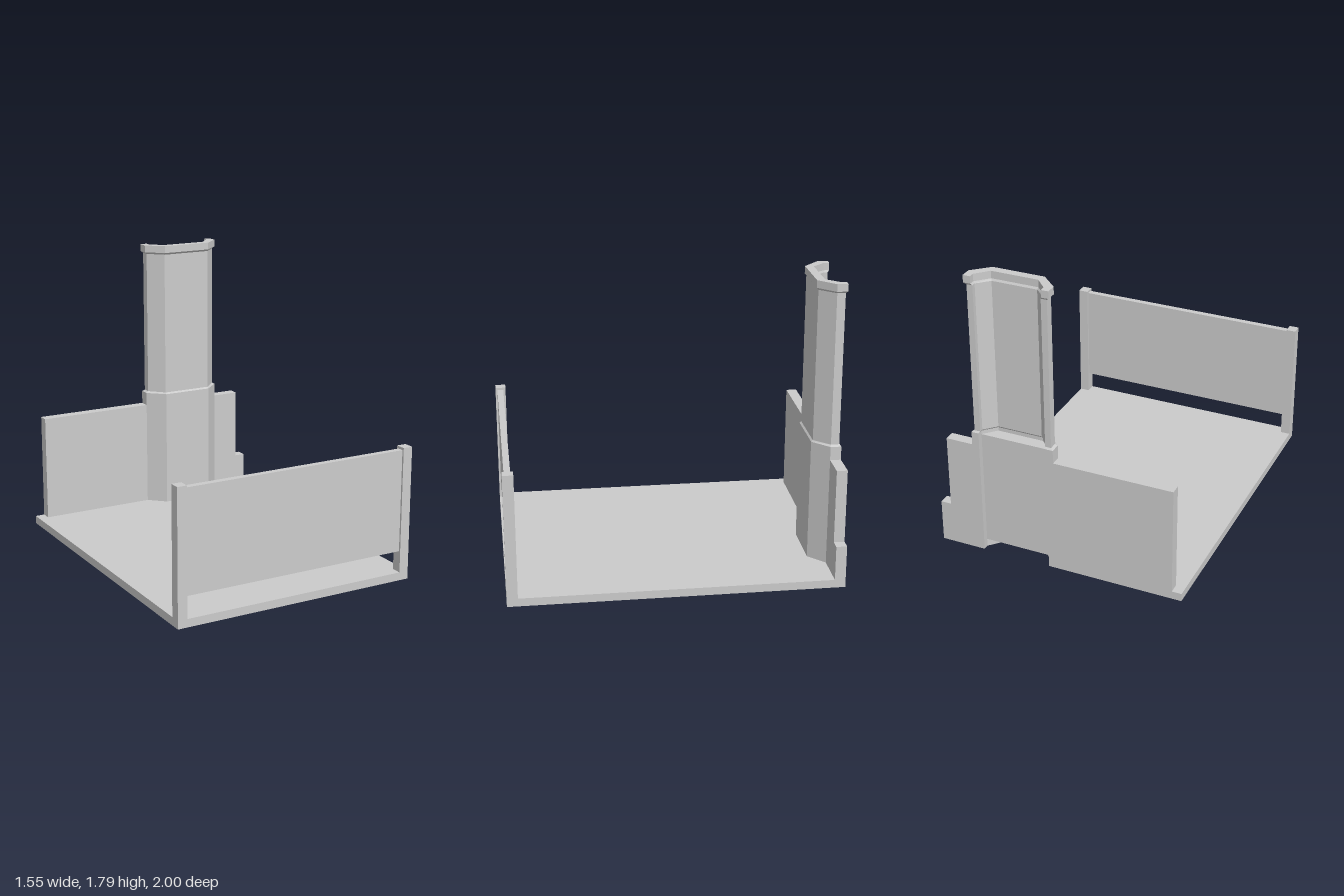
import * as THREE from 'three';

const material = new THREE.MeshStandardMaterial({ color: 0xcccccc, flatShading: true, side: THREE.DoubleSide });
const CHIMNEY_X = 0.28;

function addMesh(group, name, geometry) {
  const mesh = new THREE.Mesh(geometry, material);
  mesh.name = name;
  group.add(mesh);
  return mesh;
}

// Box given by its minimum and maximum on each axis
function addBox(group, name, [x0, x1], [y0, y1], [z0, z1]) {
  const mesh = addMesh(group, name, new THREE.BoxGeometry(x1 - x0, y1 - y0, z1 - z0));
  mesh.position.set((x0 + x1) / 2, (y0 + y1) / 2, (z0 + z1) / 2);
}

// Upright prism from a plan outline of [x, -z] points
function prism(points, y0, y1) {
  const shape = new THREE.Shape(points.map(([x, u]) => new THREE.Vector2(x, u)));
  return new THREE.ExtrudeGeometry(shape, { depth: y1 - y0, bevelEnabled: false })
    .rotateX(-Math.PI / 2)
    .translate(0, y0, 0);
}

// Half outline mirrored into a full one, from left to right
const mirrored = (half) => [
  ...half.map(([x, u]) => [CHIMNEY_X - x, u]),
  ...half.slice().reverse().map(([x, u]) => [CHIMNEY_X + x, u]),
];

// Three-sided bay with an open back: outer outline, then inner outline backwards
const bay = (outer, inner) => [...mirrored(outer), ...mirrored(inner).reverse()];

// Skin between equal-length plan outlines at rising heights, with closed ends
function loft(sections) {
  const positions = [];
  const put = (y, [x, u]) => positions.push(x, y, -u);
  for (let s = 0; s < sections.length - 1; s++) {
    const [ya, a] = sections[s];
    const [yb, b] = sections[s + 1];
    for (let i = 0; i < a.length; i++) {
      const j = (i + 1) % a.length;
      put(ya, a[i]); put(ya, a[j]); put(yb, b[j]);
      put(ya, a[i]); put(yb, b[j]); put(yb, b[i]);
    }
  }
  const outline = sections[0][1].map(([x, u]) => new THREE.Vector2(x, u));
  const [yBottom, bottom] = sections[0];
  const [yTop, top] = sections[sections.length - 1];
  for (const [i, j, k] of THREE.ShapeUtils.triangulateShape(outline, [])) {
    put(yTop, top[i]); put(yTop, top[j]); put(yTop, top[k]);
    put(yBottom, bottom[i]); put(yBottom, bottom[k]); put(yBottom, bottom[j]);
  }
  const geometry = new THREE.BufferGeometry();
  geometry.setAttribute('position', new THREE.Float32BufferAttribute(positions, 3));
  geometry.computeVertexNormals();
  return geometry;
}

export function createModel() {
  const group = new THREE.Group();
  group.name = 'roomWithChimney';

  const flueHalf = [[0.215, 1], [0.215, 0.965], [0.145, 0.89]];
  const wide = bay([[0.26, 1], [0.26, 0.935], [0.16, 0.84]], flueHalf);
  const narrow = bay(
    [[0.245, 0.99], [0.245, 0.94], [0.16, 0.85]],
    [[0.208, 0.99], [0.208, 0.965], [0.14, 0.897]],
  );

  // Floor slab with the flue cut out of its back edge
  addMesh(group, 'floor', prism(
    [[-0.775, -1], [0.775, -1], [0.775, 1], ...mirrored(flueHalf).reverse(), [-0.775, 1]], 0, 0.05));

  // Chimney breast, shaft and cap as one skin with chamfered steps
  addMesh(group, 'chimney', loft([
    [0.05, wide], [0.803, wide], [0.813, narrow],
    [1.738, narrow], [1.75, wide], [1.795, wide],
  ]));

  // Solid filling behind the chimney breast
  addMesh(group, 'chimneyBack', prism(mirrored(flueHalf.slice(1)), 0.05, 0.78));

  // Back walls on either side of the chimney, and the low corner post
  addBox(group, 'backWallRight', [-0.715, 0.03], [0.05, 0.72], [-1, -0.935]);
  addBox(group, 'backWallLeft', [0.53, 0.71], [0.05, 0.72], [-1, -0.935]);
  addBox(group, 'backPost', [0.71, 0.775], [0.05, 0.265], [-1, -0.935]);

  // Front panel raised between two posts
  addBox(group, 'frontPanel', [-0.715, 0.715], [0.18, 0.805], [0.95, 0.988]);
  for (const side of [-1, 1]) {
    const xs = [side * 0.775, side * 0.715].sort((a, b) => a - b);
    addBox(group, side > 0 ? 'frontPostLeft' : 'frontPostRight', xs, [0.05, 0.82], [0.935, 1]);
  }

  return group;
}
